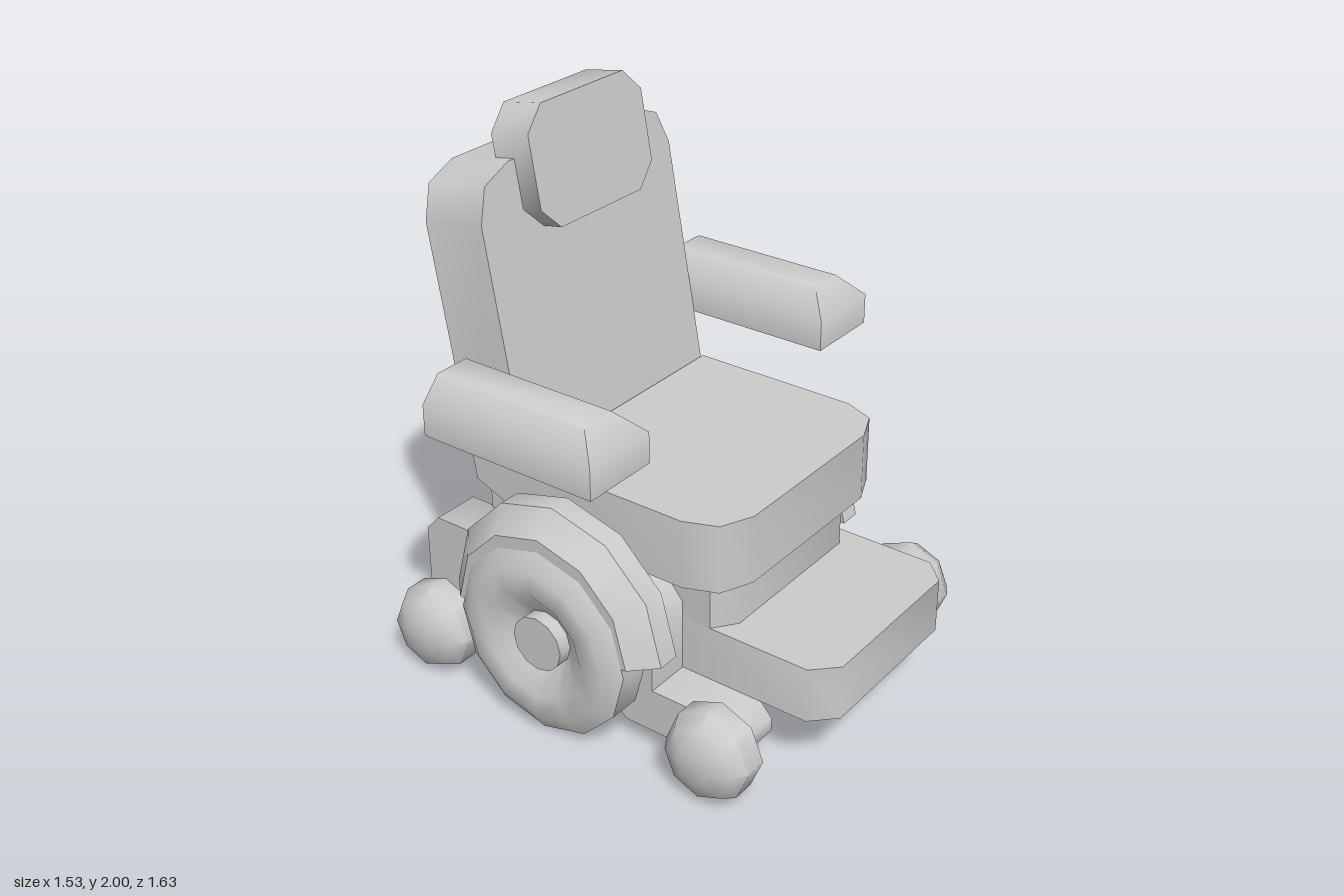
import * as THREE from 'three';
import { toCreasedNormals } from 'three/addons/utils/BufferGeometryUtils.js';
import { ConvexGeometry } from 'three/addons/geometries/ConvexGeometry.js';

const material = new THREE.MeshStandardMaterial({ color: 0xcccccc, side: THREE.DoubleSide });
const TILT = THREE.MathUtils.degToRad(-10);

function add(parent, name, geometry, crease = 0.9) {
  const mesh = new THREE.Mesh(toCreasedNormals(geometry, crease), material);
  mesh.name = name;
  parent.add(mesh);
  return mesh;
}

const vectors = (points) => points.map(([x, y]) => new THREE.Vector2(x, y));

function extrude(points, depth) {
  return new THREE.ExtrudeGeometry(new THREE.Shape(vectors(points)), { depth, bevelEnabled: false });
}

// Half outline of (x, z) points from front to back, mirrored and raised from y0 to y1
function slab(half, y0, y1) {
  const right = half.map(([x, z]) => [x, -z]);
  const left = right.map(([x, y]) => [-x, y]).reverse();
  return extrude([...right, ...left], y1 - y0).rotateX(-Math.PI / 2).translate(0, y0, 0);
}

// Side profile of (z, y) points, extruded from x0 to x1
function sideProfile(points, x0, x1) {
  return extrude(points, x1 - x0).rotateY(-Math.PI / 2).translate(x1, 0, 0);
}

// Half outline of (x, y) points, mirrored and leaning back from its lower front edge
function leaningPanel(parent, name, half, thickness, y, z) {
  const left = half.map(([px, py]) => [-px, py]).reverse();
  const mesh = add(parent, name, extrude([...half, ...left], thickness).translate(0, 0, -thickness));
  mesh.position.set(0, y, z);
  mesh.rotation.x = TILT;
}

// Profile of (radius, x) points turned about the sideways axis
function turned(points, sides, start = 0, length = Math.PI * 2) {
  return new THREE.LatheGeometry(vectors(points), sides, start, length).rotateZ(-Math.PI / 2);
}

function createSide() {
  const side = new THREE.Group();

  // Armrest with sloping top edges and nose
  const arm = [];
  for (const [x, y, front] of [
    [0.48, 1.05, 0.2], [0.765, 1.05, 0.2], [0.765, 1.16, 0.2],
    [0.69, 1.24, 0.12], [0.56, 1.24, 0.12], [0.48, 1.16, 0.2],
  ]) arm.push(new THREE.Vector3(x, y, front), new THREE.Vector3(x, y, -0.475));
  add(side, 'armrest', new ConvexGeometry(arm));

  // Drive wheel with a dished face and raised hub
  const wheel = [
    [0, 0.5], [0.29, 0.5], [0.345, 0.54], [0.345, 0.66], [0.285, 0.7],
    [0.2, 0.7], [0.1, 0.63], [0.1, 0.68], [0, 0.68],
  ];
  add(side, 'driveWheel', turned(wheel, 12)).position.set(0, 0.35, -0.12);

  // Half-round wheel cover with closed ends
  const cover = [[0.28, 0.5], [0.435, 0.5], [0.435, 0.58], [0.355, 0.66], [0.28, 0.66], [0.28, 0.5]];
  const guard = new THREE.Group();
  guard.name = 'wheelCover';
  guard.position.set(0, 0.385, -0.12);
  add(guard, 'coverShell', turned(cover, 6, Math.PI, Math.PI), 0.6);
  for (const turn of [-1, 1]) {
    const cap = new THREE.ShapeGeometry(new THREE.Shape(vectors(cover.slice(0, -1))));
    add(guard, 'coverEnd', cap.rotateY(turn * Math.PI / 2).rotateZ(-Math.PI / 2));
  }
  side.add(guard);

  // Suspension arm stepping up behind the wheel and down to the rear caster
  const suspension = [
    [0.6, 0.14], [0.6, 0.19], [0.55, 0.245], [0.25, 0.245], [0.25, 0.505], [0.2, 0.565],
    [-0.67, 0.565], [-0.725, 0.505], [-0.725, 0.14], [-0.68, 0.085], [-0.56, 0.085],
    [-0.56, 0.4], [0.09, 0.4], [0.09, 0.13], [0.14, 0.085], [0.55, 0.085],
  ];
  add(side, 'suspensionArm', sideProfile(suspension, 0.37, 0.545));

  // Domed casters, front and rear
  const dome = [[0, 0.54], [0.16, 0.54], [0.16, 0.62], [0.13, 0.67], [0.06, 0.7], [0, 0.7]];
  for (const [name, z] of [['frontCaster', 0.525], ['rearCaster', -0.655]]) {
    add(side, name, turned(dome, 8)).position.set(0, 0.163, z);
  }
  return side;
}

export function createModel() {
  const model = new THREE.Group();
  model.name = 'poweredWheelchair';

  // Base, footplate and seat
  add(model, 'base', slab([[0.3, 0.42], [0.38, 0.36], [0.38, -0.57]], 0.245, 0.64));
  add(model, 'footplate', slab([[0.3, 0.815], [0.38, 0.735], [0.38, 0.1]], 0.245, 0.445));
  add(model, 'seat', slab([[0.32, 0.485], [0.435, 0.435], [0.48, 0.32], [0.48, -0.3]], 0.64, 0.885));

  // Joint between the seat and backrest
  const joint = [[-0.54, 0.74], [-0.29, 0.64], [-0.1, 0.64], [-0.29, 0.8]];
  add(model, 'seatJoint', sideProfile(joint, -0.48, 0.48));

  // Backrest and headrest
  leaningPanel(model, 'backrest',
    [[0.48, 0], [0.48, 0.905], [0.435, 1.02], [0.315, 1.066]], 0.245, 0.78, -0.293);
  leaningPanel(model, 'headrest',
    [[0.205, 0], [0.285, 0.08], [0.285, 0.326], [0.205, 0.406]], 0.157, 1.6, -0.36);

  // Matching parts on both sides
  for (const [name, sign] of [['leftSide', 1], ['rightSide', -1]]) {
    const side = createSide();
    side.name = name;
    side.scale.x = sign;
    model.add(side);
  }
  return model;
}
